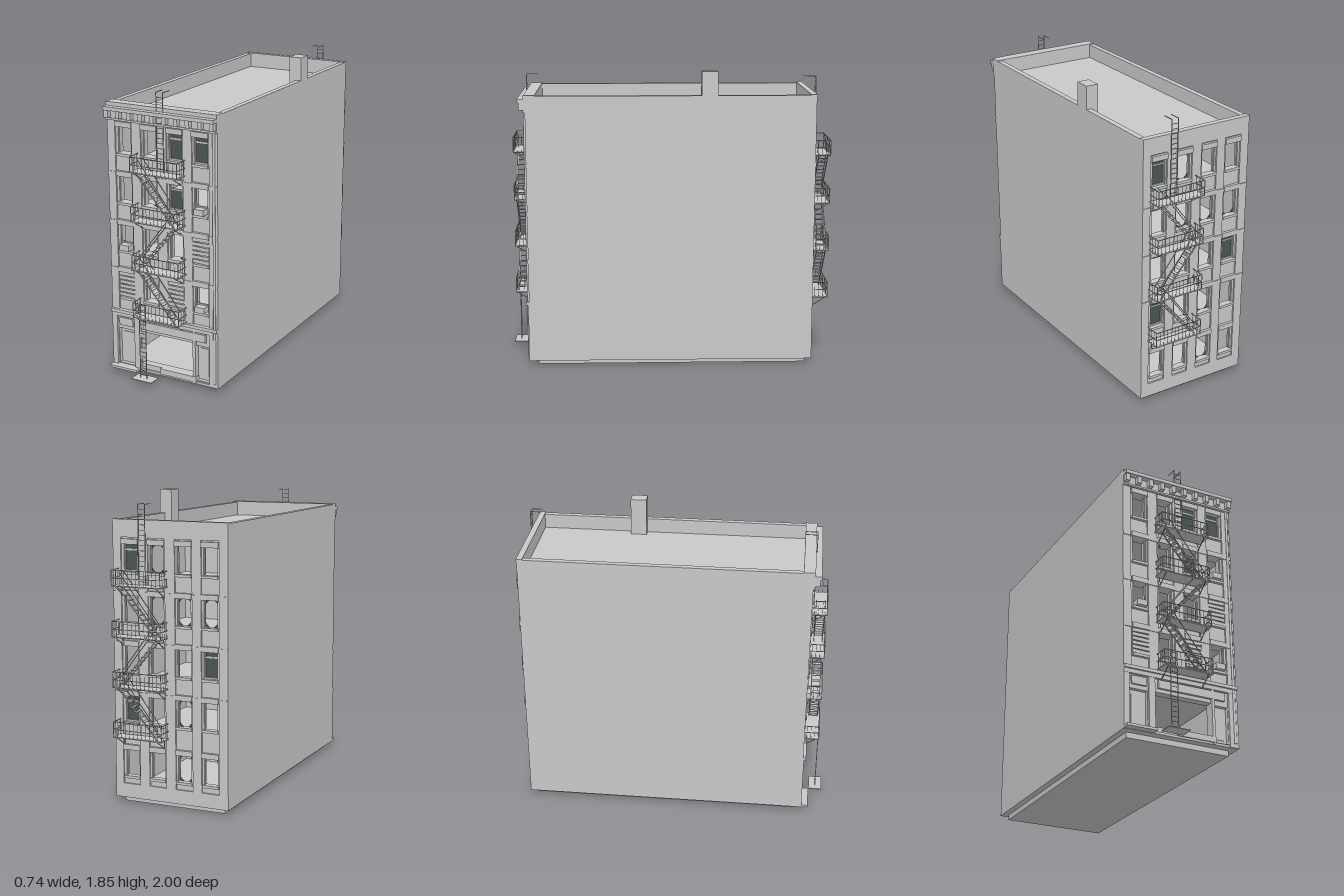
import * as THREE from 'three';

const mat = (color) => new THREE.MeshStandardMaterial({ color });
const UP = new THREE.Vector3(0, 1, 0);

export function createModel() {
  const masonry = mat(0xc8c8c8); masonry.name = 'grey masonry';
  const glass = mat(0x4b5454); glass.name = 'dark glass';
  glass.side = THREE.DoubleSide;

  const model = new THREE.Group();
  model.name = 'apartmentBuilding';

  const group = (name, parent) => {
    const g = new THREE.Group();
    g.name = name;
    parent.add(g);
    return g;
  };
  const add = (parent, name, geo, m = masonry) => {
    const mesh = new THREE.Mesh(geo, m);
    mesh.name = name;
    parent.add(mesh);
    return mesh;
  };
  // box given by its limits on each axis
  const box = (parent, name, x0, x1, y0, y1, z0, z1, m) => {
    const mesh = add(parent, name, new THREE.BoxGeometry(x1 - x0, y1 - y0, z1 - z0), m);
    mesh.position.set((x0 + x1) / 2, (y0 + y1) / 2, (z0 + z1) / 2);
    return mesh;
  };
  // thin square bar between two points of the parent's frame
  const bar = (parent, name, a, b, t = 0.004) => {
    const p = new THREE.Vector3(...a), q = new THREE.Vector3(...b);
    const mesh = add(parent, name, new THREE.BoxGeometry(t, t, p.distanceTo(q)));
    mesh.quaternion.setFromRotationMatrix(new THREE.Matrix4().lookAt(q, p, UP));
    mesh.position.copy(p).add(q).multiplyScalar(0.5);
  };
  const rectangle = (Kind, x0, x1, y0, y1) => new Kind(
    [[x0, y0], [x1, y0], [x1, y1], [x0, y1]].map((p) => new THREE.Vector2(...p)));

  // ---- shell: plinth, side walls, floors, inner wall, roof, chimney ----
  const shell = group('shell', model);
  box(shell, 'plinth', -0.33, 0.33, 0, 0.035, -0.86, 0.82);
  box(shell, 'groundFloor', -0.37, 0.37, 0.033, 0.048, -0.9, 0.87);
  for (const s of [-1, 1]) {
    box(shell, 'sideWall', Math.min(s * 0.335, s * 0.37), Math.max(s * 0.335, s * 0.37), 0.033, 1.7, -0.9, 0.86);
  }
  for (const y of [0.4, 0.7, 1.0, 1.3]) box(shell, 'upperFloor', -0.335, 0.335, y - 0.02, y, -0.865, 0.81);
  box(shell, 'innerWall', -0.335, 0.335, 0.048, 1.59, -0.02, 0.02);
  box(shell, 'roof', -0.335, 0.335, 1.59, 1.61, -0.865, 0.81);
  box(shell, 'chimney', 0.29, 0.37, 1.61, 1.845, -0.3, -0.2);
  box(shell, 'backCoping', -0.37, 0.37, 1.685, 1.705, -0.902, -0.865);

  // ---- facades: local z = 0 is the wall plane, +z points outward ----
  const columns = [-0.258, -0.087, 0.087, 0.256];
  const W = 0.043; // half width of a window

  function shards(parent, x, y0, y1, corners) {
    for (const [sx, sy] of corners) {
      const cx = x + sx * W, cy = sy > 0 ? y1 : y0;
      const shape = new THREE.Shape([[cx, cy], [cx - sx * 0.03, cy], [cx - sx * 0.011, cy - sy * 0.018],
        [cx, cy - sy * 0.04]].map((p) => new THREE.Vector2(...p)));
      add(parent, 'brokenGlass', new THREE.ShapeGeometry(shape), glass).position.z = -0.018;
    }
  }

  function windowUnit(parent, x, y0, y1, kind, isFront) {
    const g = group('window', parent);
    box(g, 'lintel', x - 0.055, x + 0.055, y1, y1 + 0.032, -0.005, 0.018);
    box(g, 'sill', x - 0.052, x + 0.052, y0 - 0.016, y0, -0.02, 0.018);
    for (const s of [-1, 1]) box(g, 'jamb', x + s * W - 0.004, x + s * W + 0.004, y0, y1, -0.022, -0.008);
    if (kind === 'glass' || kind === 'lowered') {
      const top = kind === 'glass' ? y1 : y0 + 0.12;
      box(g, 'pane', x - W, x + W, y0, top, -0.022, -0.016, glass);
      box(g, 'sashFoot', x - W, x + W, y0, y0 + 0.01, -0.018, -0.008);
      if (kind === 'glass') box(g, 'sashBar', x - W, x + W, y1 - 0.038, y1 - 0.028, -0.018, -0.01);
      else box(g, 'sashHead', x - W, x + W, top, top + 0.008, -0.022, -0.01);
    } else if (kind === 'broken') {
      shards(g, x, y0, y1, isFront ? [[-1, 1], [1, -1]] : [[-1, 1], [1, -1], [1, 1], [-1, -1]]);
    } else if (kind === 'boards') {
      for (let i = 0; i < 6; i++) {
        const y = y0 + 0.004 + i * (y1 - y0) / 6;
        const plank = box(g, 'plank', x - 0.054, x + 0.054, y, y + 0.021, 0.002, 0.01);
        plank.rotation.z = ((i * 7) % 3 - 1) * 0.02;
      }
    } else if (kind === 'cooler') {
      box(g, 'airConditioner', x - 0.032, x + 0.032, y0 + 0.004, y0 + 0.04, -0.03, 0.035);
      box(g, 'sashBar', x - W, x + W, y0 + 0.04, y0 + 0.048, -0.022, -0.01);
    }
  }

  function facade(name, isFront, depth, kinds, openings) {
    const g = group(name, model);
    const wall = rectangle(THREE.Shape, -0.335, 0.335, 0.035, 1.7);
    const rows = kinds.map((_, r) => (r < 4 ? [1.4 - 0.3 * r, 1.56 - 0.3 * r] : [0.17, 0.33]));
    for (const [y0, y1] of rows) {
      for (const x of columns) wall.holes.push(rectangle(THREE.Path, x - W, x + W, y0, y1));
    }
    for (const o of openings) wall.holes.push(rectangle(THREE.Path, ...o));
    add(g, 'wall', new THREE.ExtrudeGeometry(wall, { depth, bevelEnabled: false })).position.z = -depth;
    kinds.forEach((row, r) => row.split(' ').forEach((kind, c) => windowUnit(g, columns[c], ...rows[r], kind, isFront)));
    // flat pilasters between the window bays, banded at each storey
    const foot = isFront ? 0.415 : 0.12;
    for (const [x0, x1] of [[-0.37, -0.318], [-0.205, -0.142], [-0.032, 0.032], [0.142, 0.2], [0.313, 0.37]]) {
      box(g, 'pilaster', x0, x1, foot, 1.6, -0.002, 0.01);
      for (const y of [0.7, 1.0, 1.3]) box(g, 'pilasterBand', x0, x1, y - 0.04, y - 0.015, 0, 0.014);
    }
    return g;
  }

  const front = facade('frontFacade', true, 0.05, [
    'open open glass glass',
    'open broken lowered cooler',
    'cooler open broken boards',
    'boards open boards cooler',
  ], [[-0.33, -0.215, 0.055, 0.285], [-0.17, 0.2, 0.08, 0.29], [0.215, 0.31, 0.055, 0.28]]);
  front.position.z = 0.86;

  const back = facade('backFacade', false, 0.025, [
    'glass broken open open',
    'open broken broken broken',
    'open open open glass',
    'glass open broken open',
    'open open broken open',
  ], []);
  back.position.z = -0.89;
  back.rotation.y = Math.PI;
  box(back, 'backBase', -0.37, 0.37, 0.035, 0.12, -0.002, 0.01);
  box(back, 'backTopBand', -0.37, 0.37, 1.6, 1.69, -0.002, 0.01);

  // ---- shopfront ----
  const shop = group('shopfront', model);
  for (const [x0, x1] of [[-0.37, -0.335], [-0.212, -0.172], [0.198, 0.216], [0.312, 0.37]]) {
    box(shop, 'shopPillar', x0, x1, 0.035, 0.37, 0.85, 0.875);
  }
  box(shop, 'signBand', -0.15, 0.285, 0.312, 0.362, 0.855, 0.876);
  box(shop, 'transomPanel', -0.32, -0.225, 0.31, 0.36, 0.855, 0.872);
  box(shop, 'windowLedge', -0.03, 0.22, 0.045, 0.08, 0.84, 0.878);
  for (const [x0, x1] of [[-0.33, -0.215], [0.215, 0.31]]) {
    box(shop, 'door', x0, x1, 0.048, 0.285, 0.815, 0.835);
    box(shop, 'doorPanel', x0 + 0.02, x1 - 0.02, 0.08, 0.26, 0.835, 0.84);
  }
  box(shop, 'doorStep', -0.37, -0.18, 0.035, 0.05, 0.86, 0.915);
  box(shop, 'beltCourse', -0.37, 0.37, 0.37, 0.395, 0.85, 0.877);
  box(shop, 'beltCap', -0.37, 0.37, 0.395, 0.415, 0.85, 0.888);

  // ---- cornice and drainpipe ----
  const cornice = group('cornice', model);
  box(cornice, 'frieze', -0.37, 0.37, 1.605, 1.66, 0.85, 0.878);
  box(cornice, 'corniceFoot', -0.37, 0.37, 1.598, 1.61, 0.85, 0.885);
  box(cornice, 'corniceSlab', -0.37, 0.37, 1.66, 1.682, 0.84, 0.918);
  box(cornice, 'parapetCap', -0.37, 0.37, 1.682, 1.705, 0.81, 0.88);
  for (let i = 0; i < 10; i++) {
    const x = -0.352 + i * 0.0782;
    box(cornice, 'modillion', x - 0.013, x + 0.013, 1.615, 1.66, 0.87, 0.91);
  }
  const pipe = add(model, 'drainpipe', new THREE.CylinderGeometry(0.008, 0.008, 1.6, 8));
  pipe.position.set(0.348, 0.86, 0.875);

  // ---- fire escapes: local z = 0 at the wall, centred on x = 0 ----
  function ladder(parent, x, y0, y1, z) {
    const g = group('ladder', parent);
    for (const s of [-1, 1]) bar(g, 'ladderRail', [x + s * 0.022, y0, z], [x + s * 0.022, y1, z], 0.004);
    for (let y = y0 + 0.02; y < y1; y += 0.03) bar(g, 'rung', [x - 0.022, y, z], [x + 0.022, y, z], 0.003);
  }

  function fireEscape(name, x, z, turn) {
    const g = group(name, model);
    g.position.set(x, 0, z);
    g.rotation.y = turn;
    const X = 0.158, Z = 0.093;
    [0.42, 0.72, 1.02, 1.32].forEach((y, level) => {
      box(g, 'platform', -X, X, y, y + 0.006, 0, Z);
      for (const h of [0.05, 0.097]) {
        bar(g, 'rail', [-X, y + h, Z], [X, y + h, Z]);
        for (const s of [-1, 1]) bar(g, 'sideRail', [s * X, y + h, 0.005], [s * X, y + h, Z]);
      }
      for (let i = 0; i <= 12; i++) {
        const px = -X + i * X / 6;
        bar(g, 'baluster', [px, y, Z], [px, y + 0.097, Z], i % 12 ? 0.002 : 0.004);
      }
      for (const s of [-1, 1]) {
        for (const d of [0.015, 0.04, 0.065]) bar(g, 'baluster', [s * X, y, d], [s * X, y + 0.097, d], 0.002);
        bar(g, 'bracket', [s * 0.133, y - 0.055, 0.004], [s * 0.133, y, Z]);
        bar(g, 'bracketPost', [s * 0.133, y - 0.055, 0.004], [s * 0.133, y, 0.004]);
      }
      if (level === 3) return;
      // flight of steps up to the next platform
      const s = level % 2 ? 1 : -1;
      for (const d of [0.025, 0.08]) {
        bar(g, 'stringer', [-s * 0.13, y, d], [s * 0.13, y + 0.305, d], 0.006);
        bar(g, 'handrail', [-s * 0.13, y + 0.065, d], [s * 0.115, y + 0.385, d]);
      }
      for (let i = 1; i < 11; i++) {
        const tx = s * (-0.13 + 0.26 * i / 11), ty = y + 0.305 * i / 11;
        box(g, 'step', tx - 0.011, tx + 0.011, ty - 0.002, ty + 0.002, 0.025, 0.08);
      }
    });
    // ladder to the roof with hooked rails
    ladder(g, 0, 1.326, 1.795, 0.012);
    for (const s of [-1, 1]) bar(g, 'ladderHook', [s * 0.022, 1.795, 0.014], [s * 0.022, 1.795, -0.06]);
    return g;
  }
  const frontEscape = fireEscape('frontFireEscape', 0, 0.872, 0);
  fireEscape('backFireEscape', 0.17, -0.905, Math.PI);

  // drop ladder and its landing plate
  ladder(frontEscape, -0.097, 0.037, 0.515, 0.088);
  box(frontEscape, 'landingPlate', -0.16, -0.02, 0.033, 0.038, 0.045, 0.128);

  return model;
}
